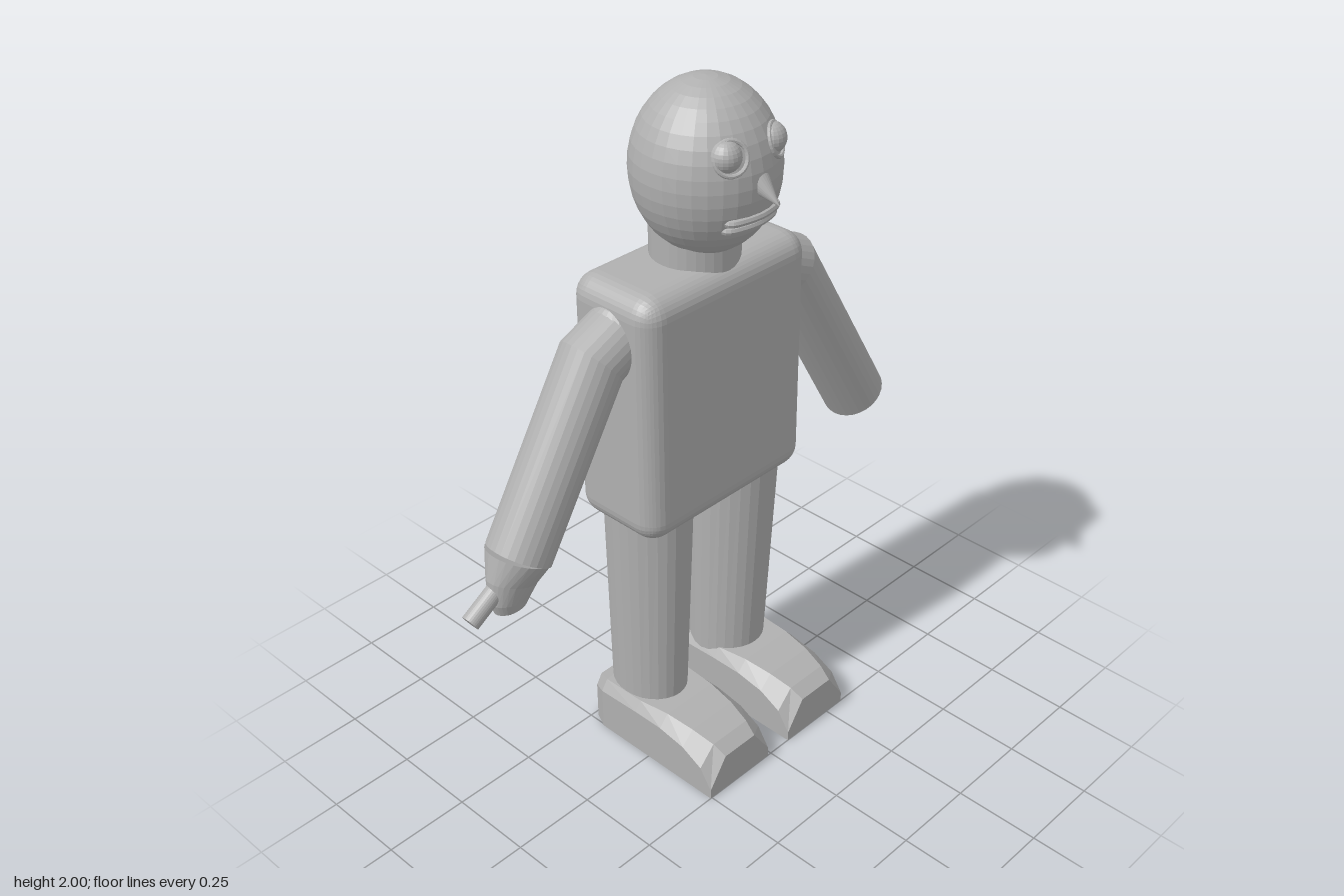
import * as THREE from 'three';
import { RoundedBoxGeometry } from 'three/addons/geometries/RoundedBoxGeometry.js';

const SIDES = 28;

// Skin rings of equal length into a closed body with capped ends.
function loft(rings) {
  const n = rings[0].length, pos = [], index = [];
  for (const ring of rings) for (const p of ring) pos.push(p.x, p.y, p.z);
  for (let k = 0; k < rings.length - 1; k++) {
    for (let i = 0; i < n; i++) {
      const j = (i + 1) % n, a = k * n, b = a + n;
      index.push(a + i, a + j, b + j, a + i, b + j, b + i);
    }
  }
  [rings[0], rings[rings.length - 1]].forEach((ring, end) => {
    const c = new THREE.Vector3();
    ring.forEach((p) => c.addScaledVector(p, 1 / n));
    const centre = pos.length / 3, o = end ? (rings.length - 1) * n : 0;
    pos.push(c.x, c.y, c.z);
    for (let i = 0; i < n; i++) {
      const j = (i + 1) % n;
      index.push(centre, o + (end ? i : j), o + (end ? j : i));
    }
  });
  const g = new THREE.BufferGeometry();
  g.setAttribute('position', new THREE.Float32BufferAttribute(pos, 3));
  g.setIndex(index);
  g.computeVertexNormals();
  return g;
}

// Round limb through sections [x, y, z, radius along x, radius across], mitred at bends.
function limb(sections) {
  const c = sections.map((s) => new THREE.Vector3(s[0], s[1], s[2]));
  const dir = (i) => c[i + 1].clone().sub(c[i]).normalize();
  const u = new THREE.Vector3(1, 0, 0), last = c.length - 1;
  return loft(sections.map((s, i) => {
    const before = dir(Math.max(i - 1, 0)), after = dir(Math.min(i, last - 1));
    const d = before.clone().add(after).normalize();
    const v = d.clone().cross(u).normalize().multiplyScalar(s[4] / d.dot(after));
    return Array.from({ length: SIDES }, (_, k) => {
      const a = (k / SIDES) * Math.PI * 2;
      return c[i].clone().addScaledVector(u, s[3] * Math.cos(a)).addScaledVector(v, Math.sin(a));
    });
  }));
}

// Foot from cross-sections [x, half width, side height, half width of top, top height].
function foot() {
  const sections = [
    [-0.25, 0.075, 0.1, 0.055, 0.135], [-0.235, 0.1, 0.12, 0.08, 0.152],
    [-0.19, 0.121, 0.135, 0.1, 0.168], [-0.05, 0.121, 0.14, 0.1, 0.17],
    [0.05, 0.121, 0.14, 0.09, 0.175], [0.14, 0.121, 0.125, 0.08, 0.165],
    [0.21, 0.121, 0.09, 0.068, 0.145], [0.25, 0.121, 0.03, 0.06, 0.12],
  ];
  return loft(sections.map(([x, b, h, t, top]) =>
    [[top, -t], [top, t], [h, b], [0, b], [0, -b], [h, -b]].map(([y, z]) => new THREE.Vector3(x, y, z))));
}

export function createModel() {
  const model = new THREE.Group();
  model.name = 'standingFigure';
  const grey = new THREE.MeshStandardMaterial({ color: 0xb0b0b0, flatShading: true });
  grey.name = 'grey';
  const add = (name, geometry, x = 0, y = 0, z = 0) => {
    const mesh = new THREE.Mesh(geometry, grey);
    mesh.name = name;
    mesh.position.set(x, y, z);
    model.add(mesh);
    return mesh;
  };

  // Torso and neck
  add('torso', new RoundedBoxGeometry(0.297, 0.73, 0.608, 4, 0.065), -0.077, 1.155, -0.016);
  add('neck', new THREE.CylinderGeometry(0.12, 0.12, 0.16, 32), -0.07, 1.56, -0.022);

  // Head: ellipsoid cut underneath by a sloping plane
  const H = new THREE.Vector3(-0.035, 1.77, -0.025), R = new THREE.Vector3(0.195, 0.23, 0.195);
  const skull = new THREE.SphereGeometry(1, 32, 20);
  skull.scale(R.x, R.y, R.z).translate(H.x, H.y, H.z);
  const p = skull.attributes.position;
  for (let i = 0; i < p.count; i++) p.setY(i, Math.max(p.getY(i), 1.57 - 0.3 * p.getX(i)));
  skull.computeVertexNormals();
  add('head', skull);

  // x of the face surface at a given height and sideways offset
  const faceX = (y, dz) => H.x + R.x * Math.sqrt(1 - ((y - H.y) / R.y) ** 2 - (dz / R.z) ** 2);

  // Eyes in round rims
  for (const side of [1, -1]) {
    const name = side > 0 ? 'right' : 'left';
    const y = 1.855, dz = side * 0.08, x = faceX(y, dz);
    add(name + 'Eye', new THREE.SphereGeometry(0.042, 20, 14), x - 0.022, y, H.z + dz);
    const rim = add(name + 'EyeRim', new THREE.TorusGeometry(0.043, 0.006, 8, 28), x - 0.004, y, H.z + dz);
    const out = new THREE.Vector3((x - H.x) / R.x ** 2, (y - H.y) / R.y ** 2, dz / R.z ** 2);
    rim.quaternion.setFromUnitVectors(new THREE.Vector3(0, 0, 1), out.normalize());
  }

  // Nose: cone pointing forwards and down
  const nose = add('nose', new THREE.ConeGeometry(0.05, 0.13, 24), 0.155, 1.765, -0.027);
  nose.quaternion.setFromUnitVectors(new THREE.Vector3(0, 1, 0), new THREE.Vector3(0.11, -0.07, 0).normalize());

  // Lips: two bars following the face
  for (const [name, y] of [['upperLip', 1.686], ['lowerLip', 1.663]]) {
    const points = [-0.082, -0.04, 0, 0.04, 0.082].map((dz) => new THREE.Vector3(faceX(y, dz), y, H.z + dz));
    points.unshift(points[0].clone().setX(points[0].x - 0.03));
    points.push(points[5].clone().setX(points[5].x - 0.03));
    add(name, new THREE.TubeGeometry(new THREE.CatmullRomCurve3(points), 32, 0.011, 8));
  }

  // Arms: the right one ends in a hand, the left one in a flat cut
  const X = -0.08, r = 0.09;
  add('rightShoulder', new THREE.SphereGeometry(r, 24, 16), X, 1.39, 0.24);
  add('leftShoulder', new THREE.SphereGeometry(r, 24, 16), X, 1.39, -0.28);
  add('rightArm', limb([[X, 1.394, 0.22, r, r], [X, 1.34, 0.341, r, r], [X, 0.89, 0.616, r, 0.089]]));
  add('leftArm', limb([[X, 1.394, -0.272, r, r], [X, 1.34, -0.389, r, r], [X, 0.79, -0.717, 0.092, 0.094]]));
  add('rightHand', limb([
    [X, 0.89, 0.616, r, 0.089], [X, 0.828, 0.643, 0.058, 0.076],
    [X, 0.775, 0.655, 0.042, 0.062], [X, 0.748, 0.655, 0.034, 0.05], [X, 0.733, 0.654, 0.018, 0.028],
  ]));
  add('rightFinger', limb([[X - 0.003, 0.84, 0.66, 0.025, 0.026], [X - 0.003, 0.762, 0.785, 0.025, 0.026]]));

  // Legs and feet
  const legs = [
    ['right', 0.143, 0.113, 0.135, 0.096, 0.134],
    ['left', -0.198, 0.127, -0.188, 0.107, -0.196],
  ];
  for (const [side, zTop, rTop, zLow, rLow, zFoot] of legs) {
    add(side + 'Leg', limb([[-0.092, 0.875, zTop, 0.137, rTop], [-0.11, 0.12, zLow, 0.119, rLow]]));
    add(side + 'Foot', foot(), 0, 0, zFoot);
  }
  return model;
}
